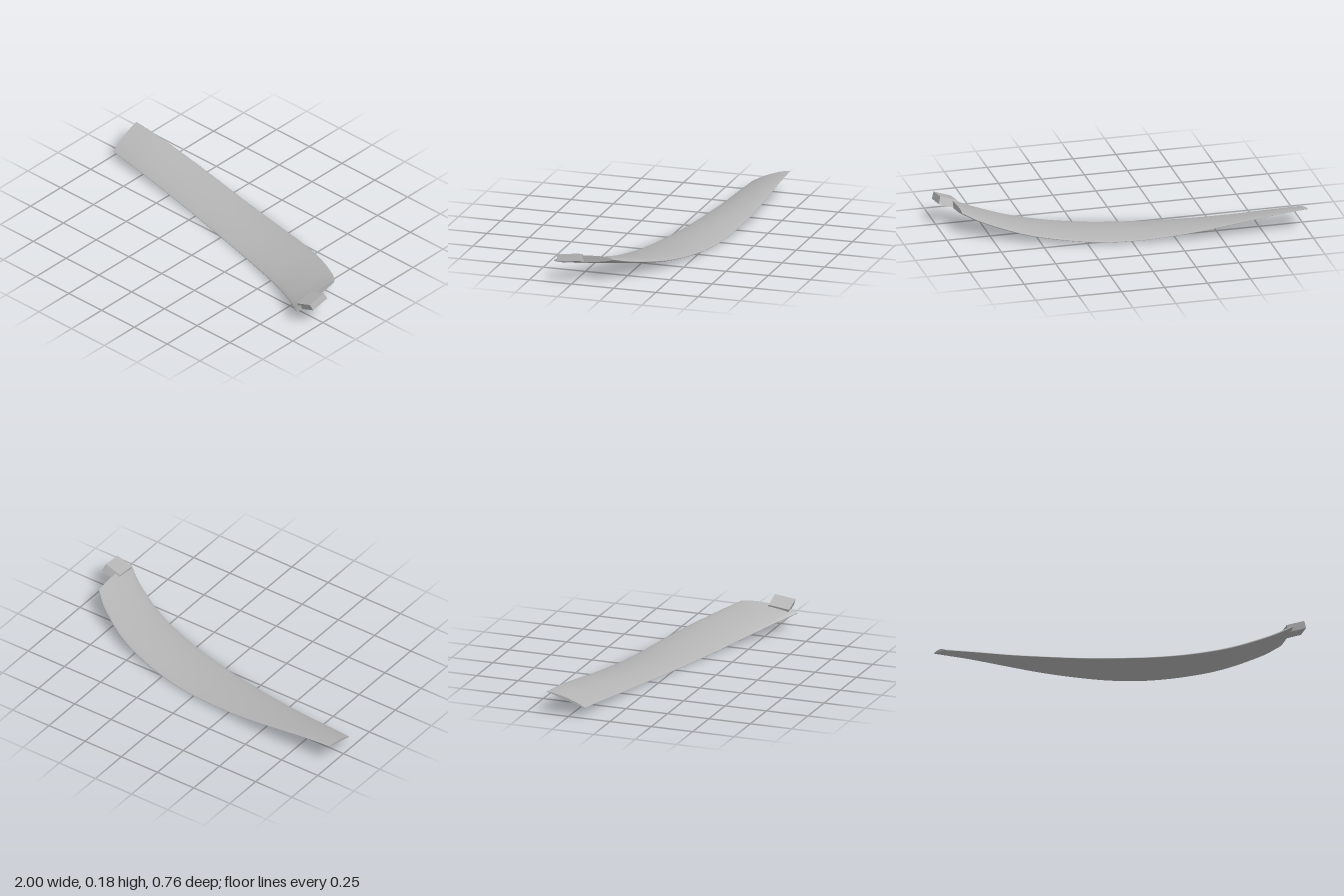
import * as THREE from 'three';
import { ConvexGeometry } from 'three/addons/geometries/ConvexGeometry.js';

const V = (p) => new THREE.Vector3(...p);
const curve = (points) => new THREE.CatmullRomCurve3(points.map(V), false, 'catmullrom', 0.5);

// Edges of the blade from tip to root
const rearEdge = curve([
  [-1, 0.138, -0.382], [-0.8, 0.118, -0.378], [-0.6, 0.089, -0.371], [-0.4, 0.059, -0.36],
  [-0.2, 0.035, -0.34], [0, 0.02, -0.315], [0.2, 0.02, -0.28], [0.4, 0.036, -0.23],
  [0.6, 0.063, -0.157], [0.8, 0.108, -0.042], [0.9, 0.142, 0.042],
]);
const frontEdge = curve([
  [-0.975, 0.06, -0.16], [-0.8, 0.049, -0.136], [-0.6, 0.034, -0.107], [-0.4, 0.023, -0.073],
  [-0.2, 0.014, -0.035], [0, 0.01, 0.01], [0.2, 0.01, 0.06], [0.4, 0.019, 0.12],
  [0.6, 0.04, 0.195], [0.8, 0.077, 0.3], [0.917, 0.108, 0.382],
]);
// Camber and half thickness, from tip to root
const section = curve([
  [0.009, 0.006, 0], [0.012, 0.009, 0], [0.015, 0.011, 0], [0.015, 0.014, 0], [0.012, 0.019, 0],
  [0.006, 0.02, 0],
]);

const STATIONS = 60, RING = 40;

function ringAt(t) {
  const rear = rearEdge.getPoint(t), front = frontEdge.getPoint(t), s = section.getPoint(t);
  const ring = [];
  for (let j = 0; j < RING; j++) {
    const a = (j / RING) * Math.PI * 2;
    const u = (1 - Math.cos(a)) / 2;
    const p = rear.clone().lerp(front, u);
    p.y += s.x * 4 * u * (1 - u) + s.y * Math.sin(a);
    ring.push(p);
  }
  return ring;
}

function skinGeometry() {
  const points = [], index = [];
  for (let i = 0; i <= STATIONS; i++) points.push(...ringAt(i / STATIONS));
  for (let i = 0; i < STATIONS; i++) {
    for (let j = 0; j < RING; j++) {
      const k = (j + 1) % RING;
      const a = i * RING + j, b = i * RING + k, c = b + RING, d = a + RING;
      index.push(a, b, d, b, c, d);
    }
  }
  const g = new THREE.BufferGeometry().setFromPoints(points);
  g.setIndex(index);
  g.computeVertexNormals();
  return g;
}

function capGeometry(t, flip) {
  const g = new THREE.BufferGeometry().setFromPoints(ringAt(t));
  const index = [];
  for (let j = 1; j < RING - 1; j++) index.push(0, flip ? j + 1 : j, flip ? j : j + 1);
  g.setIndex(index);
  g.computeVertexNormals();
  return g;
}

export function createModel() {
  const model = new THREE.Group();
  model.name = 'curvedBlade';
  const grey = new THREE.MeshStandardMaterial({ color: 0xb4b4b4 });
  grey.name = 'grey';
  const add = (name, geometry) => {
    const mesh = new THREE.Mesh(geometry, grey);
    mesh.name = name;
    model.add(mesh);
  };

  add('bladeSkin', skinGeometry());
  add('tipCap', capGeometry(0, true));
  add('rootCap', capGeometry(1, false));

  // Mounting tab, rising outward along the line of the root
  const tabEnd = [[1, 0.13, 0.33], [0.993, 0.145, 0.204], [0.987, 0.167, 0.344], [0.98, 0.184, 0.222]].map(V);
  const inward = V([-0.1, -0.034, 0]);
  add('mountingTab', new ConvexGeometry([...tabEnd, ...tabEnd.map((p) => p.clone().add(inward))]));
  return model;
}
